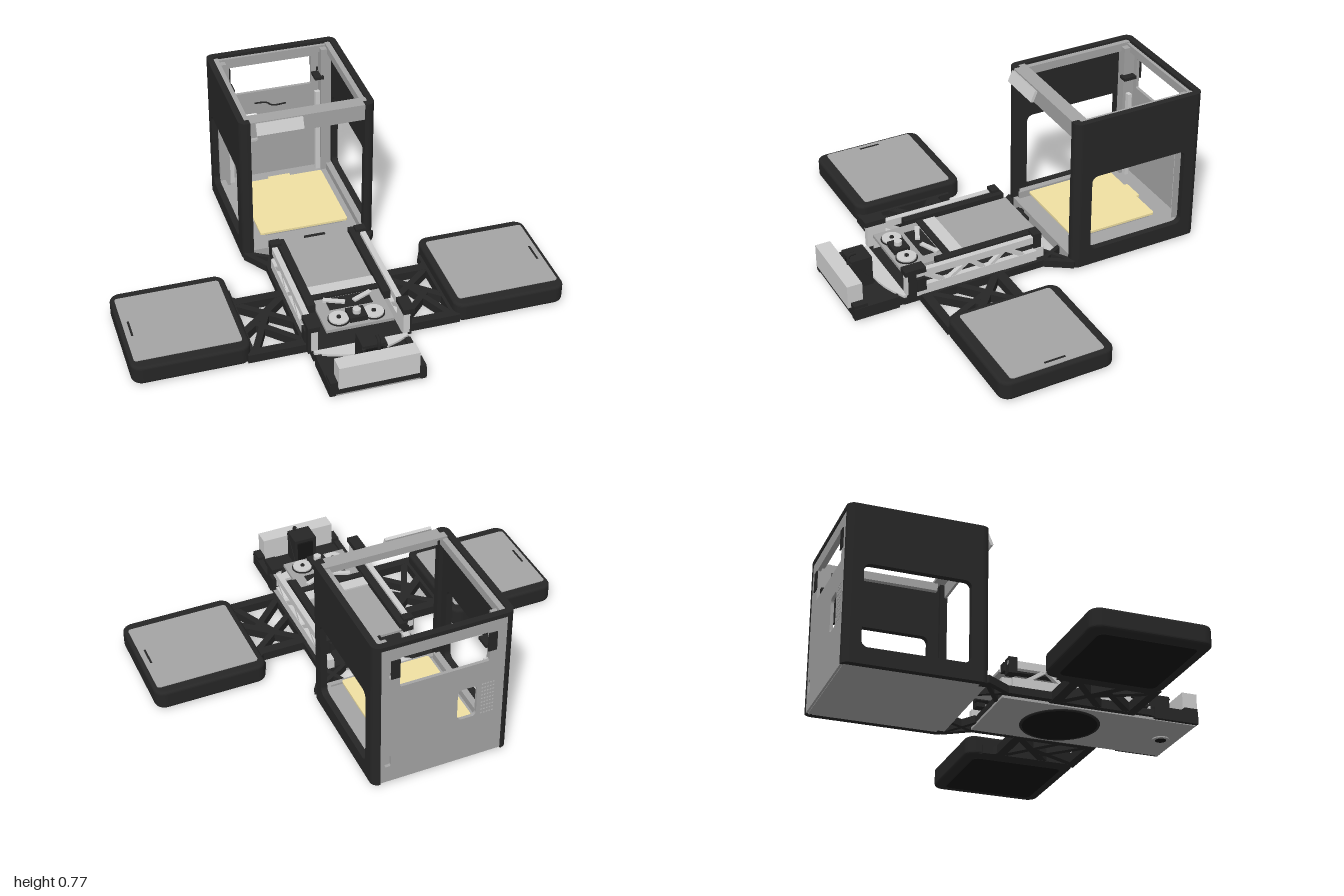
import * as THREE from 'three';

export function createModel() {
  const root = new THREE.Group();
  const mat = (c) => new THREE.MeshStandardMaterial({ color: c });
  const dark = mat(0x262626), black = mat(0x141414), grey = mat(0xa4a4a4), light = mat(0xcccccc), gold = mat(0xf0e0a2);

  const add = (name, geo, m) => {
    const mesh = new THREE.Mesh(geo, m);
    mesh.name = name;
    root.add(mesh);
    return mesh;
  };
  const box = (name, m, x0, x1, y0, y1, z0, z1) => {
    const g = new THREE.BoxGeometry(Math.abs(x1 - x0), y1 - y0, z1 - z0);
    return add(name, g.translate((x0 + x1) / 2, (y0 + y1) / 2, (z0 + z1) / 2), m);
  };
  const disc = (name, m, r, x, z, y0, y1, n = 40) =>
    add(name, new THREE.CylinderGeometry(r, r, y1 - y0, n).translate(x, (y0 + y1) / 2, z), m);
  // Rectangle with rounded corners, as Shape or hole Path
  const roundRect = (a0, a1, b0, b1, r, T = THREE.Shape) => {
    const s = new T();
    s.absarc(a1 - r, b0 + r, r, -Math.PI / 2, 0);
    s.absarc(a1 - r, b1 - r, r, 0, Math.PI / 2);
    s.absarc(a0 + r, b1 - r, r, Math.PI / 2, Math.PI);
    s.absarc(a0 + r, b0 + r, r, Math.PI, Math.PI * 1.5);
    s.closePath();
    return s;
  };
  const hole = (...a) => roundRect(...a, THREE.Path);
  // Plan shape (x, -z) extruded upwards, with an optional rounded edge
  const slab = (name, m, shape, y0, y1, b = 0) => {
    const g = new THREE.ExtrudeGeometry(shape, {
      depth: y1 - y0 - 2 * b, bevelEnabled: b > 0, bevelSize: b, bevelThickness: b, bevelOffset: -b, bevelSegments: 4, curveSegments: 8,
    });
    return add(name, g.rotateX(-Math.PI / 2).translate(0, y0 + b, 0), m);
  };
  // Straight bar between two points
  const strut = (name, m, a, b, w, h) => {
    const p = new THREE.Vector3(...a), q = new THREE.Vector3(...b);
    const mesh = add(name, new THREE.BoxGeometry(w, h, p.distanceTo(q)), m);
    mesh.position.copy(p).add(q).multiplyScalar(0.5);
    mesh.lookAt(q);
    return mesh;
  };

  // Enclosure: floor, heated bed, back panel
  box('enclosureFloor', grey, -0.29, 0.29, 0.012, 0.05, -0.835, -0.21);
  box('bedCarrier', grey, -0.19, 0.19, 0.075, 0.092, -0.68, -0.28);
  const bed = roundRect(-0.22, 0.21, 0.26, 0.695, 0.01);
  slab('printBed', gold, bed, 0.095, 0.105);
  box('bedTab', gold, -0.06, 0.05, 0.095, 0.105, -0.712, -0.69);

  const back = roundRect(-0.29, 0.29, 0.015, 0.755, 0.005);
  back.holes.push(hole(-0.21, 0.2, 0.53, 0.685, 0.008), hole(-0.16, -0.07, 0.245, 0.41, 0.02),
    hole(0.235, 0.265, 0.1, 0.16, 0.008), hole(0.225, 0.25, 0.59, 0.62, 0.004));
  for (let i = 0; i < 5; i++) for (let j = 0; j < 9; j++) {
    const c = new THREE.Path();
    c.absarc(-0.237 + i * 0.013, 0.25 + j * 0.02, 0.0048, 0, Math.PI * 2);
    back.holes.push(c);
  }
  add('backPanel', new THREE.ExtrudeGeometry(back, { depth: 0.015, bevelEnabled: false, curveSegments: 3 }).translate(0, 0, -0.845), grey);
  const cable = new THREE.CatmullRomCurve3([[-0.09, 0.47], [-0.03, 0.465], [0, 0.445], [0.07, 0.445]].map(([x, y]) => new THREE.Vector3(x, y, -0.825)));
  add('cable', new THREE.TubeGeometry(cable, 16, 0.004, 6), dark);

  // Enclosure: side walls with windows, rounded corner posts, inner columns
  const side = new THREE.Shape();
  side.moveTo(0.235, 0.012).lineTo(0.815, 0.012).lineTo(0.815, 0.765).lineTo(0.235, 0.765).closePath();
  side.holes.push(hole(0.285, 0.77, 0.09, 0.48, 0.03));
  for (const s of [1, -1]) {
    const g = new THREE.ExtrudeGeometry(side, { depth: 0.03, bevelEnabled: false });
    g.rotateY(Math.PI / 2).translate(s > 0 ? 0.29 : -0.32, 0, 0);
    add('sideWall', g, dark);
    for (const f of [1, -1]) {
      const r = 0.035, cz = f > 0 ? -0.235 : -0.815, p = new THREE.Shape();
      const a0 = s > 0 ? (f > 0 ? -Math.PI / 2 : 0) : (f > 0 ? Math.PI : Math.PI / 2);
      const inX = f > 0 ? s * 0.27 : s * 0.285;
      p.absarc(s * 0.285, -cz, r, a0, a0 + Math.PI / 2);
      const tail = [[inX, -cz + -f * r], [inX, -cz]];
      if (s * f > 0) tail.reverse();
      // The arc runs anticlockwise, so the tail closes the post on its inner side
      const last = p.getPoints().at(-1);
      if (Math.abs(last.x) > 0.3) tail.sort((a, b) => f * (a[1] - b[1])).reverse();
      else tail.sort((a, b) => f * (a[1] - b[1]));
      tail.forEach(([x, y]) => p.lineTo(x, y));
      p.closePath();
      slab('cornerPost', dark, p, 0.012, 0.765);
    }
    box('zColumn', grey, s * 0.235, s * 0.285, 0.05, 0.74, -0.83, -0.775);
    box('zGuide', light, s * 0.21, s * 0.235, 0.05, 0.5, -0.81, -0.79);
    box('columnBracket', dark, s * 0.2, s * 0.245, 0.585, 0.6, -0.825, -0.76);
    box('topLip', grey, s * 0.265, s * 0.29, 0.715, 0.755, -0.825, -0.25);
    box('sideSill', grey, s * 0.26, s * 0.29, 0.05, 0.085, -0.83, -0.23);
    box('backCatch', dark, s * 0.2, s * 0.24, 0.585, 0.68, -0.85, -0.844);
  }
  box('backRim', dark, -0.286, 0.286, 0.745, 0.765, -0.85, -0.82);
  box('backLip', grey, -0.27, 0.27, 0.715, 0.75, -0.83, -0.805);
  box('frontBeam', grey, -0.285, 0.285, 0.685, 0.764, -0.215, -0.203);
  box('frontBeamTop', grey, -0.29, 0.29, 0.752, 0.764, -0.27, -0.205);
  box('frontSill', grey, -0.275, 0.275, 0.012, 0.06, -0.225, -0.203);
  const screen = box('displayPanel', light, -0.11, 0.11, -0.028, 0.028, -0.007, 0.007);
  screen.position.set(-0.14, 0.742, -0.178);
  screen.rotation.x = -0.4;
  box('displayMount', dark, -0.2, -0.08, 0.725, 0.745, -0.205, -0.178);

  // Central base: underside panel, deck and swivel disc
  box('baseUnderside', grey, -0.2, 0.2, 0.008, 0.02, -0.1, 0.83);
  box('baseDeck', dark, -0.22, 0.22, 0.02, 0.05, -0.1, 0.6);
  box('frontDeck', dark, -0.215, 0.215, 0.02, 0.055, 0.6, 0.835);
  disc('swivelDisc', black, 0.17, 0, 0.25, 0.003, 0.03);
  add('swivelRing', new THREE.TorusGeometry(0.175, 0.007, 8, 48).rotateX(Math.PI / 2).translate(0, 0.008, 0.25), dark);
  disc('pivotBoss', grey, 0.04, 0, 0.75, 0.002, 0.02);
  disc('pivotHole', black, 0.025, 0, 0.75, 0, 0.02);

  for (const s of [1, -1]) {
    // Struts linking the base to the enclosure
    box('linkBeam', dark, s * 0.215, s * 0.243, 0.015, 0.05, -0.1, 0.13);
    strut('linkStrut', dark, [s * 0.31, 0.032, -0.21], [s * 0.228, 0.032, -0.085], 0.025, 0.035);
    strut('linkStrut', dark, [s * 0.13, 0.032, -0.1], [s * 0.29, 0.032, -0.2], 0.02, 0.035);
    strut('linkStrut', dark, [s * 0.23, 0.032, -0.09], [s * 0.17, 0.032, -0.21], 0.02, 0.035);

    // Side trays
    const x0 = s > 0 ? 0.47 : -1;
    slab('sideTray', dark, roundRect(x0, x0 + 0.53, -0.52, 0.02, 0.05), 0.008, 0.1, 0.014);
    const px = s > 0 ? 0.5 : -0.98;
    slab('trayPad', grey, roundRect(px, px + 0.48, -0.47, -0.025, 0.015), 0.09, 0.103);
    slab('trayUnderside', black, roundRect(x0 + 0.05, x0 + 0.48, -0.47, -0.03, 0.03), 0.004, 0.02);
    box('trayNotch', dark, s * 0.948, s * 0.957, 0.095, 0.105, 0.2, 0.3);

    // Braced arm between base and tray
    box('armBar', dark, s * 0.21, s * 0.49, 0.01, 0.052, 0.115, 0.16);
    box('armBar', dark, s * 0.21, s * 0.49, 0.01, 0.052, 0.478, 0.52);
    box('armEnd', dark, s * 0.21, s * 0.24, 0.01, 0.052, 0.12, 0.52);
    box('armEnd', dark, s * 0.455, s * 0.49, 0.01, 0.052, 0.05, 0.52);
    const fillet = new THREE.Shape();
    fillet.moveTo(s * 0.48, -0.04).lineTo(s * 0.48, -0.13).lineTo(s * 0.41, -0.13);
    fillet.quadraticCurveTo(s * 0.47, -0.115, s * 0.475, -0.04);
    slab('armFillet', dark, fillet, 0.01, 0.052);
    strut('armBrace', dark, [s * 0.23, 0.031, 0.15], [s * 0.47, 0.031, 0.36], 0.035, 0.04);
    strut('armBrace', dark, [s * 0.47, 0.031, 0.14], [s * 0.23, 0.031, 0.34], 0.03, 0.04);
    strut('armBrace', dark, [s * 0.34, 0.031, 0.26], [s * 0.45, 0.031, 0.49], 0.03, 0.04);
    strut('armBrace', dark, [s * 0.4, 0.031, 0.31], [s * 0.23, 0.031, 0.48], 0.03, 0.04);

    // Gantry truss and linear rail
    box('trussTop', light, s * 0.2, s * 0.226, 0.145, 0.18, -0.08, 0.56);
    box('trussBottom', light, s * 0.2, s * 0.226, 0.05, 0.1, -0.06, 0.56);
    [[0, 0.1], [0.18, 0.1], [0.2, 0.28], [0.38, 0.28], [0.4, 0.5]].forEach(([a, b]) =>
      strut('trussDiagonal', light, [s * 0.213, 0.09, a], [s * 0.213, 0.155, b], 0.022, 0.016));
    box('linearRail', dark, s * 0.155, s * 0.192, 0.14, 0.182, -0.09, 0.42);
    box('rearMotor', dark, s * 0.18, s * 0.23, 0.12, 0.195, -0.08, -0.04);
    box('rearFoot', light, s * 0.18, s * 0.21, 0.05, 0.1, -0.105, -0.06);
    box('trussEnd', light, s * 0.195, s * 0.225, 0.07, 0.19, 0.5, 0.59);
    box('endBlock', dark, s * 0.2, s * 0.243, 0.085, 0.15, 0.5, 0.545);
    box('tensioner', dark, s * 0.19, s * 0.243, 0.18, 0.205, 0.5, 0.6);
    box('endPost', dark, s * 0.205, s * 0.238, 0.05, 0.19, 0.545, 0.58);

    // Carriage pulleys and braces
    disc('pulleyRim', dark, 0.05, s * 0.08, 0.52, 0.16, 0.165);
    disc('pulley', light, 0.045, s * 0.08, 0.52, 0.16, 0.172);
    disc('pulleyHub', dark, 0.01, s * 0.08, 0.52, 0.17, 0.178, 16);
    strut('carriageBrace', light, [s * 0.02, 0.166, 0.42], [s * 0.11, 0.166, 0.38], 0.022, 0.012);

    // Front deck rails and tool frame sides
    box('deckRail', dark, s * 0.19, s * 0.218, 0.012, 0.07, 0.62, 0.835);
    box('binBracket', dark, s * 0.18, s * 0.215, 0.055, 0.085, 0.77, 0.835);
    box('toolPost', dark, s * 0.042, s * 0.055, 0.055, 0.2, 0.675, 0.775);
    strut('toolBrace', dark, [s * 0.05, 0.065, 0.67], [s * 0.05, 0.19, 0.775], 0.015, 0.012);
  }

  // Gantry plate and carriage
  box('gantryPlate', grey, -0.16, 0.155, 0.145, 0.157, -0.1, 0.27);
  box('gantryStop', dark, -0.05, 0.05, 0.145, 0.16, -0.115, -0.1);
  box('gantryEdge', light, -0.155, 0.155, 0.147, 0.165, 0.27, 0.33);
  box('crossBeam', dark, -0.19, 0.19, 0.14, 0.17, 0.335, 0.365);
  box('carriagePlate', grey, -0.155, 0.155, 0.145, 0.16, 0.365, 0.58);
  box('carriageSlot', dark, -0.1, 0.1, 0.155, 0.163, 0.37, 0.45);
  box('carriageBlock', dark, -0.04, 0.04, 0.16, 0.185, 0.485, 0.56);
  disc('carriageKnob', light, 0.018, 0, 0.525, 0.18, 0.205, 20);

  // Front deck: curved cover, tool head and bin
  const cover = new THREE.Shape();
  cover.moveTo(0.215, -0.585).lineTo(-0.215, -0.585).lineTo(-0.215, -0.6);
  cover.quadraticCurveTo(0, -0.72, 0.215, -0.6);
  slab('curvedCover', light, cover, 0.052, 0.066);
  box('toolHead', black, -0.042, 0.042, 0.055, 0.17, 0.685, 0.765);
  box('toolTop', dark, -0.055, 0.055, 0.185, 0.2, 0.675, 0.775);
  add('toolNozzle', new THREE.ConeGeometry(0.03, 0.03, 16).translate(0, 0.185, 0.725), light);
  const hose = new THREE.CatmullRomCurve3([[0.17, 0.775], [0.215, 0.77], [0.22, 0.74]].map(([y, z]) => new THREE.Vector3(0.02, y, z)));
  add('toolHose', new THREE.TubeGeometry(hose, 12, 0.008, 8), dark);
  box('frontBin', light, -0.182, 0.18, 0.06, 0.172, 0.778, 0.85);

  return root;
}
